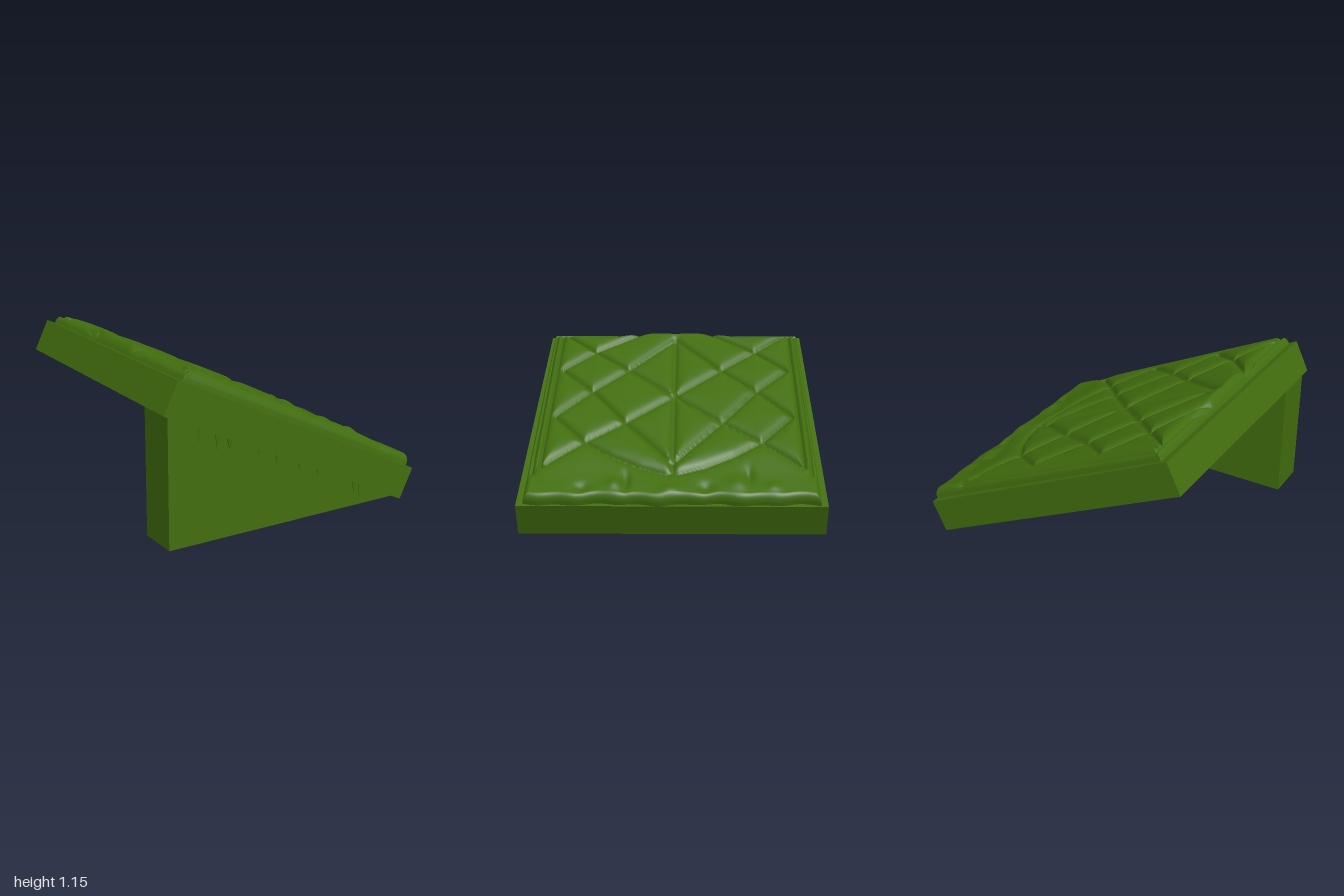
import * as THREE from 'three';

const green = new THREE.MeshStandardMaterial({ color: 0x416d0e });
green.name = 'leaf green';

const TILT = 0.4523, LENGTH = 2.057, THICK = 0.2325;

// Half of the stitching as [x, z] polylines on the plan; mirrored across z = 0
const halfSeams = [
  [[-0.72, 0], [-0.33, 0.34], [-0.08, 0.59], [0.2, 0.83]],
  [[-0.02, 0], [0.27, 0.34], [0.47, 0.6], [0.68, 0.84]],
  [[-0.02, 0], [-0.33, 0.34], [-0.56, 0.6], [-0.77, 0.83]],
  [[0.68, 0], [0.26, 0.34], [-0.08, 0.59], [-0.33, 0.83]],
  [[0.47, 0.6], [0.2, 0.83]],
  [[-0.33, 0.83], [-0.56, 0.6], [-0.8, 0.26]],
  [[0.47, 0.6], [0.6, 0.42], [0.7, 0.22], [0.76, 0.03], [0.74, 0], [0.68, 0]], // curved lower border
  [[-0.77, 0.87], [0.7, 0.87]],                                               // side piping
  [[0.76, 0.92], [-0.78, 0.92], [-0.78, 0.45], [-0.82, 0.27]],
  [[-0.72, 0], [0.68, 0]],
];
const segments = halfSeams.flatMap(line => line.slice(1).map((b, i) => [...line[i], ...b]));

// Distance from a point to the closest seam
function seamDistance(x, z) {
  let best = 9;
  for (const [ax, az, bx, bz] of segments) {
    const dx = bx - ax, dz = bz - az;
    const t = THREE.MathUtils.clamp(((x - ax) * dx + (z - az) * dz) / (dx * dx + dz * dz), 0, 1);
    best = Math.min(best, Math.hypot(x - ax - t * dx, z - az - t * dz));
  }
  return best;
}

// Folds near the low end: [x, z, radius x, radius z, height]
const folds = [
  [0.8, -0.5, 0.08, 0.03, -0.025], [0.87, -0.42, 0.06, 0.07, 0.02], [0.9, -0.22, 0.05, 0.05, -0.025],
  [0.84, 0.3, 0.08, 0.025, -0.03], [0.88, 0.38, 0.05, 0.05, 0.02], [0.9, 0.58, 0.04, 0.05, -0.02],
  [0.92, 0.02, 0.04, 0.06, 0.015], [0.9, -0.65, 0.04, 0.05, 0.015],
];

function cushionHeight(x, z) {
  const d = seamDistance(x, Math.abs(z));
  let h = 0.084 - 0.022 * THREE.MathUtils.smoothstep(x, 0.55, 0.85);
  h += 0.012 * (1 - Math.exp(-d / 0.08)) - 0.036 * Math.exp(-d / 0.02);
  for (const [fx, fz, rx, rz, a] of folds) {
    h += a * Math.exp(-(((x - fx) / rx) ** 2) - ((z - fz) / rz) ** 2);
  }
  return h;
}

// Quilted cushion: a plane lifted by the height rule, rounded down at its rim
function cushionGeometry() {
  const N = 220;
  const geo = new THREE.PlaneGeometry(1, 1, N, N).rotateX(-Math.PI / 2);
  const p = geo.attributes.position;
  const ease = a => a - 0.12 * Math.sin(2 * Math.PI * a); // denser towards the rim
  const u0 = 0.05, u1 = 2.045;
  for (let i = 0; i < p.count; i++) {
    const s = ease(p.getX(i) + 0.5), t = ease(p.getZ(i) + 0.5);
    const half = 0.945 + 0.01 * s;
    let u = u0 + (u1 - u0) * s;
    const z = (t * 2 - 1) * half;
    const rim = Math.min(u - u0, u1 - u, half - Math.abs(z));
    const k = 1 - Math.min(rim / 0.045, 1);
    const round = Math.sqrt(Math.max(0, 1 - k * k));
    const x = u * 0.9 - 0.855;
    // wavy low edge
    u += 0.014 * Math.sin(z * 17) * Math.sin(z * 7 + 1) * THREE.MathUtils.smoothstep(s, 0.9, 1);
    p.setXYZ(i, u, 0.002 + cushionHeight(x, z) * round, z);
  }
  geo.computeVertexNormals();
  return geo;
}

// Board, slightly wider at its low end
function boardGeometry() {
  const geo = new THREE.BoxGeometry(LENGTH, THICK, 2).translate(LENGTH / 2, -THICK / 2, 0);
  const p = geo.attributes.position;
  for (let i = 0; i < p.count; i++) {
    p.setZ(i, p.getZ(i) * (0.97 + 0.03 * p.getX(i) / LENGTH));
  }
  geo.computeVertexNormals();
  return geo;
}

export function createModel() {
  const model = new THREE.Group();
  model.name = 'quiltedRamp';
  const add = (parent, name, geo) => {
    const mesh = new THREE.Mesh(geo, green);
    mesh.name = name;
    parent.add(mesh);
    return mesh;
  };

  // Sloping top
  const top = new THREE.Group();
  top.name = 'slopingTop';
  top.position.set(-0.89, 1.109, 0);
  top.rotation.z = -TILT;
  model.add(top);
  add(top, 'board', boardGeometry());
  add(top, 'quiltedCushion', cushionGeometry());

  // Triangular support under the front side
  const tri = new THREE.Shape([[-0.96, 0.02], [0.84, 0.02], [-0.96, 0.9]].map(q => new THREE.Vector2(...q)));
  const support = add(model, 'support', new THREE.ExtrudeGeometry(tri, { depth: 0.29, bevelEnabled: false }));
  support.position.z = 0.67;

  // Small cloth folds hanging below the board: [x, length, width]
  const hanging = [[-0.74, 0.1, 0.03], [-0.61, 0.11, 0.05], [-0.52, 0.07, 0.07], [-0.3, 0.05, 0.04],
    [-0.16, 0.06, 0.05], [0.02, 0.05, 0.05], [0.17, 0.05, 0.04], [0.48, 0.09, 0.05], [0.53, 0.12, 0.04]];
  for (const [x, len, w] of hanging) {
    const y = 0.9 - (x + 0.99) * 0.486;
    const fold = add(model, 'clothFold', new THREE.ConeGeometry(w / 2, len + 0.04, 8).rotateX(Math.PI));
    fold.scale.z = 0.3;
    fold.position.set(x, y - len / 2 + 0.02, 0.96);
  }
  return model;
}
